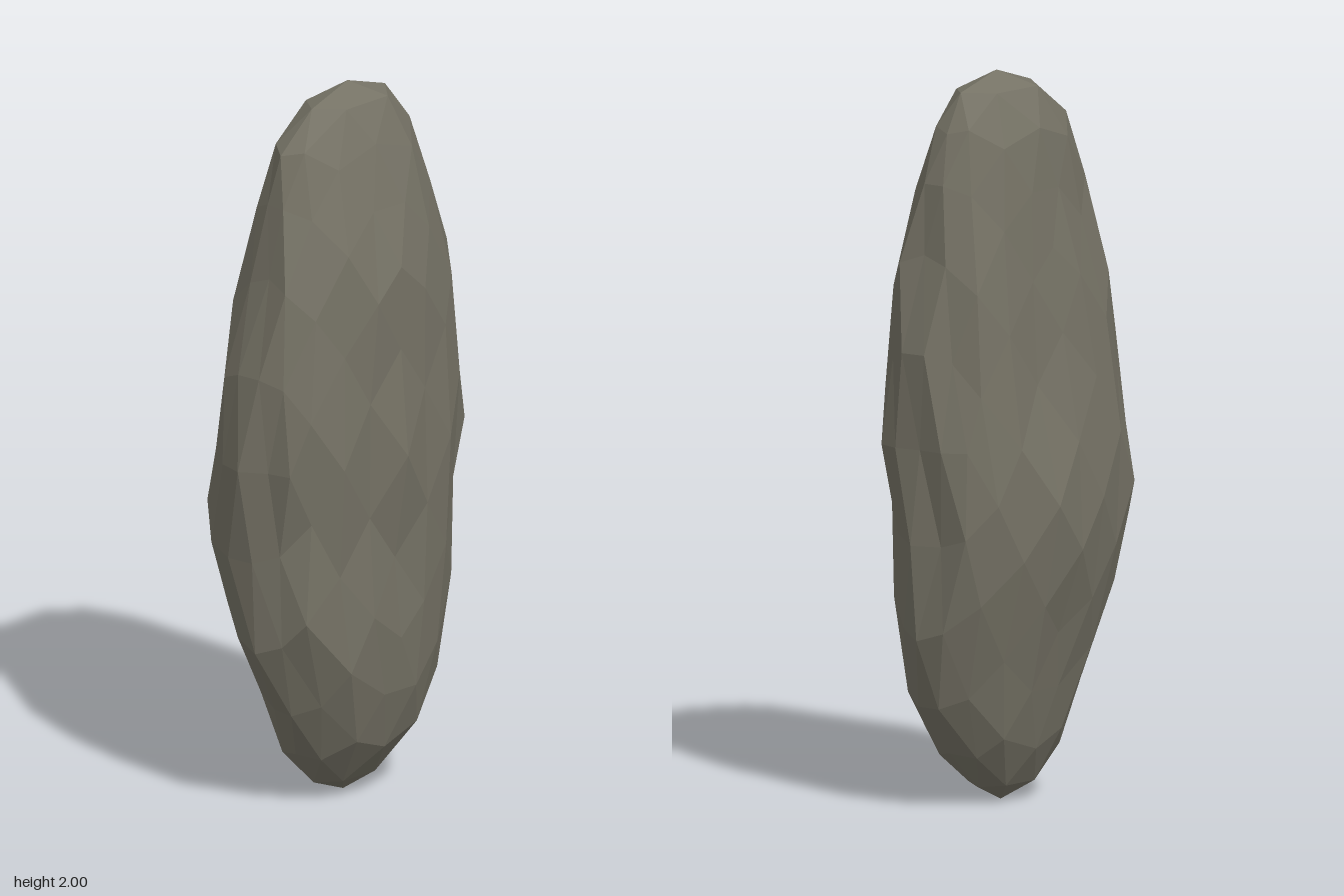
import * as THREE from 'three';

// Outline of the boulder by height: [y, left-hand x, right-hand x, back z, front z]
const PROFILE = [
  [0.00, 0.02, 0.02, 0.02, 0.02],
  [0.02, -0.07, 0.10, -0.03, 0.06],
  [0.10, -0.16, 0.18, -0.09, 0.14],
  [0.20, -0.20, 0.26, -0.115, 0.19],
  [0.30, -0.26, 0.32, -0.14, 0.215],
  [0.45, -0.34, 0.37, -0.17, 0.24],
  [0.62, -0.385, 0.375, -0.22, 0.24],
  [0.80, -0.38, 0.38, -0.265, 0.24],
  [1.00, -0.39, 0.39, -0.24, 0.265],
  [1.20, -0.40, 0.40, -0.19, 0.245],
  [1.38, -0.35, 0.38, -0.205, 0.245],
  [1.55, -0.31, 0.335, -0.15, 0.225],
  [1.70, -0.27, 0.315, -0.14, 0.18],
  [1.82, -0.24, 0.285, -0.125, 0.14],
  [1.92, -0.17, 0.235, -0.09, 0.11],
  [1.97, -0.07, 0.18, -0.05, 0.08],
  [2.00, 0.05, 0.05, 0.01, 0.01],
];

function outlineAt(y) {
  let i = 1;
  while (i < PROFILE.length - 1 && PROFILE[i][0] < y) i++;
  const a = PROFILE[i - 1], b = PROFILE[i];
  const t = THREE.MathUtils.clamp((y - a[0]) / (b[0] - a[0]), 0, 1);
  return a.map((v, k) => THREE.MathUtils.lerp(v, b[k], t));
}

// Repeatable smooth dents, a fraction of the radius
function dent(d) {
  return 0.035 * Math.sin(5.1 * d.x + 7.3 * d.y + 1.2) * Math.cos(6.2 * d.z - 4.1 * d.y)
    + 0.03 * Math.sin(11 * d.x - 9 * d.y + 8 * d.z + 0.7);
}

export function createModel() {
  const stone = new THREE.MeshStandardMaterial({ color: 0x757265, flatShading: true });
  stone.name = 'stone grey';

  // Faceted ball pulled onto the outline, with rounded-box cross-sections
  const geometry = new THREE.IcosahedronGeometry(1, 3);
  const pos = geometry.attributes.position;
  const d = new THREE.Vector3();
  const power = 2.35;
  for (let i = 0; i < pos.count; i++) {
    d.fromBufferAttribute(pos, i).normalize();
    const [, x0, x1, z0, z1] = outlineAt(1 + d.y);
    // The poles have no sideways direction, so they take a fixed one
    const ring = Math.hypot(d.x, d.z);
    const c = ring > 1e-5 ? d.x / ring : 1;
    const s = ring > 1e-5 ? d.z / ring : 0;
    const round = (Math.abs(c) ** power + Math.abs(s) ** power) ** (-1 / power);
    const r = round * (0.995 + dent(d));
    // A shallow hollow low on the front and one high on the back
    const front = 0.02 * Math.max(s, 0) * Math.exp(-((d.x + 0.3) ** 2 + d.y ** 2) * 12);
    const back = 0.02 * Math.max(-s, 0) * Math.exp(-((d.x - 0.2) ** 2 + (d.y - 0.25) ** 2) * 14);
    pos.setXYZ(i,
      (x0 + x1) / 2 + r * c * (x1 - x0) / 2,
      1 + d.y,
      (z0 + z1) / 2 + r * s * (z1 - z0) / 2 - front + back);
  }
  geometry.computeVertexNormals();

  const boulder = new THREE.Mesh(geometry, stone);
  boulder.name = 'boulder';
  const group = new THREE.Group();
  group.name = 'standingStone';
  group.add(boulder);
  return group;
}
